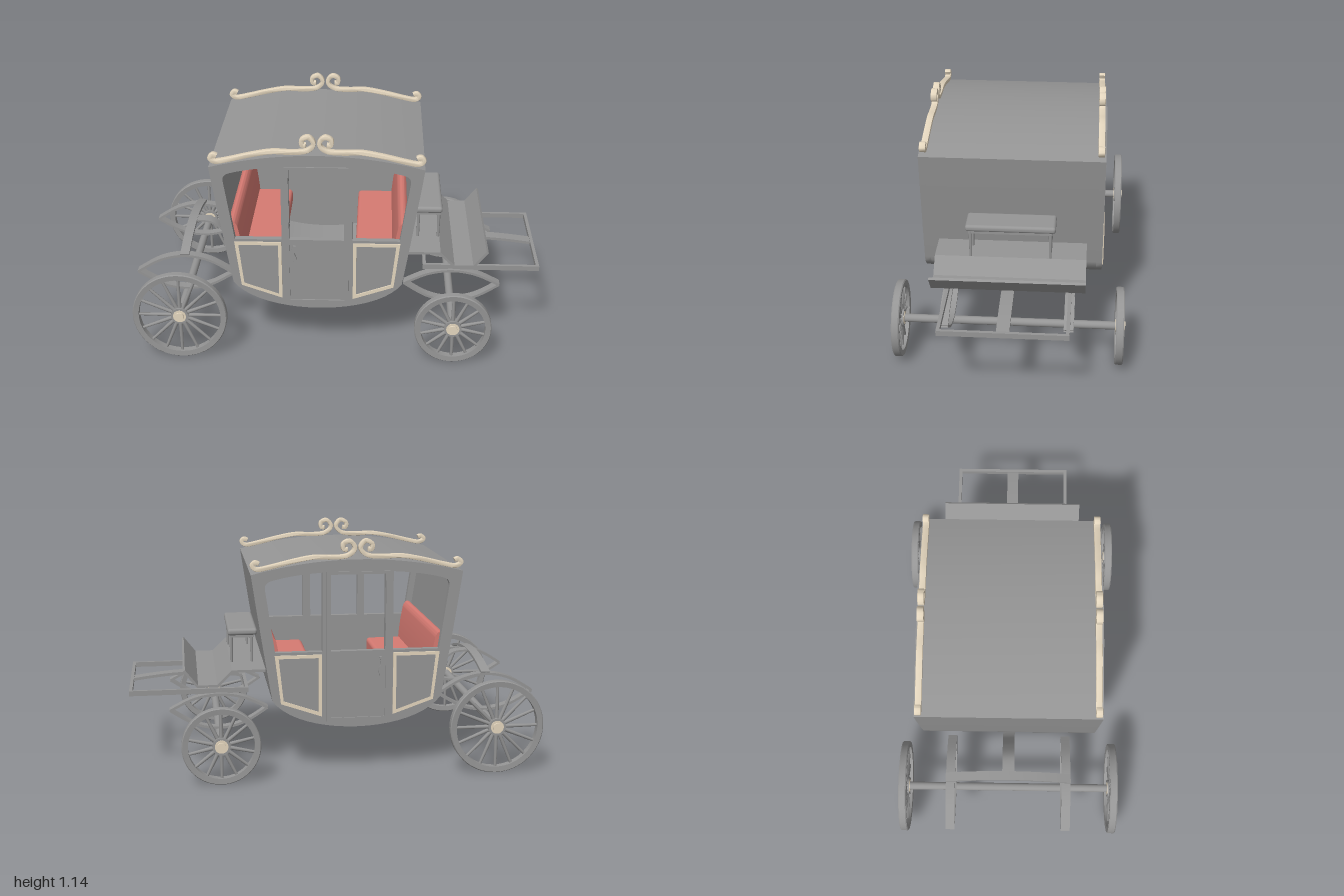
import * as THREE from 'three';
import { toCreasedNormals } from 'three/addons/utils/BufferGeometryUtils.js';
import { RoundedBoxGeometry } from 'three/addons/geometries/RoundedBoxGeometry.js';

const grey = new THREE.MeshStandardMaterial({ color: 0x959595 });
const gold = new THREE.MeshStandardMaterial({ color: 0xe4d6be });
const red = new THREE.MeshStandardMaterial({ color: 0xd67a72 });
const CX = -0.09; // middle of the cabin along x
const mx = (x) => 2 * CX - x;

function add(parent, name, geo, mat = grey, x = 0, y = 0, z = 0) {
  const m = new THREE.Mesh(geo, mat);
  m.name = name;
  m.position.set(x, y, z);
  parent.add(m);
  return m;
}
const box = (p, name, w, h, d, x, y, z) => add(p, name, new THREE.BoxGeometry(w, h, d), grey, x, y, z);

// Extrude a side-view shape along z, centred on z = 0
function slab(shape, depth, bevel = 0) {
  const g = new THREE.ExtrudeGeometry(shape, {
    depth: depth - 2 * bevel, curveSegments: 20, bevelEnabled: bevel > 0,
    bevelSize: bevel, bevelThickness: bevel, bevelOffset: -bevel, bevelSegments: 2,
  });
  g.translate(0, 0, -depth / 2 + bevel);
  return toCreasedNormals(g, 0.6);
}
const poly = (pts) => new THREE.Shape(pts.map(([x, y]) => new THREE.Vector2(x, y)));

// Band of constant thickness following a path in the xy plane
function band(pts, thick, depth, samples = 0, bevel = 0) {
  let v = pts.map(([x, y]) => new THREE.Vector2(x, y));
  if (samples) v = new THREE.SplineCurve(v).getPoints(samples);
  const side = (s) => v.map((p, i) => {
    const a = v[Math.max(i - 1, 0)], b = v[Math.min(i + 1, v.length - 1)];
    const t = b.clone().sub(a).normalize();
    return new THREE.Vector2(p.x - t.y * s, p.y + t.x * s);
  });
  return slab(new THREE.Shape([...side(-thick / 2), ...side(thick / 2).reverse()]), depth, bevel);
}

// Cabin silhouette, scaled about its middle
function outline(target, k = 1) {
  const X = (x) => CX + (x - CX) * k, Y = (y) => 0.64 + (y - 0.64) * k;
  target.moveTo(X(-0.5), Y(0.37));
  target.bezierCurveTo(X(-0.37), Y(0.182), X(0.19), Y(0.182), X(0.32), Y(0.37));
  target.quadraticCurveTo(X(0.36), Y(0.6), X(0.415), Y(0.98));
  target.quadraticCurveTo(X(CX), Y(1.11), X(-0.595), Y(0.98));
  target.quadraticCurveTo(X(-0.54), Y(0.6), X(-0.5), Y(0.37));
  return target;
}
function windowHole(f) {
  const h = new THREE.Path();
  h.moveTo(f(-0.485), 0.605);
  h.lineTo(f(-0.53), 0.91);
  h.quadraticCurveTo(f(-0.533), 0.94, f(-0.5), 0.95);
  h.quadraticCurveTo(f(-0.4), 0.977, f(-0.26), 0.985);
  h.lineTo(f(-0.26), 0.605);
  h.closePath();
  return h;
}
const rectHole = (x0, y0, x1, y1) =>
  new THREE.Path([[x0, y0], [x0, y1], [x1, y1], [x1, y0]].map(([x, y]) => new THREE.Vector2(x, y)));

function cabin() {
  const g = new THREE.Group();
  g.name = 'cabin';
  const ring = outline(new THREE.Shape());
  ring.holes.push(outline(new THREE.Path(), 0.95));
  add(g, 'cabinShell', slab(ring, 0.82));

  const wall = outline(new THREE.Shape());
  wall.holes.push(windowHole((x) => x), windowHole(mx), rectHole(-0.222, 0.605, 0.038, 0.975));
  const wallGeo = slab(wall, 0.03);
  const door = poly([[-0.243, 0.262], [0.06, 0.262], [0.06, 0.988], [-0.243, 0.988]]);
  door.holes.push(rectHole(-0.224, 0.277, 0.041, 0.975));
  const doorGeo = slab(door, 0.014);

  // Moulding around the lower panel beside the door
  const panel = (f) => {
    const s = poly([[-0.488, 0.592], [-0.262, 0.592], [-0.262, 0.286], [-0.46, 0.355]].map(([x, y]) => [f(x), y]));
    s.holes.push(new THREE.Path([[-0.469, 0.576], [-0.278, 0.576], [-0.278, 0.309], [-0.447, 0.368]]
      .map(([x, y]) => new THREE.Vector2(f(x), y))));
    return slab(s, 0.014);
  };
  // Roof scroll: end curl, long sweep, open centre curl
  const scroll = [[-0.556, 1.03], [-0.574, 1.036], [-0.588, 1.02], [-0.562, 1.003], [-0.5, 1.014], [-0.4, 1.038],
    [-0.3, 1.056], [-0.22, 1.054], [-0.15, 1.058], [-0.114, 1.077], [-0.104, 1.104], [-0.128, 1.13],
    [-0.158, 1.117], [-0.157, 1.092], [-0.138, 1.09]];

  for (const s of [1, -1]) {
    add(g, 'sideWall', wallGeo, grey, 0, 0, s * 0.425);
    add(g, 'doorFrame', doorGeo, grey, 0, 0, s * 0.44);
    add(g, 'doorHandle', band([[-0.2, 0.575], [-0.208, 0.54], [-0.197, 0.51], [-0.202, 0.48]], 0.012, 0.014, 12), grey, 0, 0, s * 0.445);
    for (const f of [(x) => x, mx]) {
      add(g, 'panelMoulding', panel(f), gold, 0, 0, s * 0.439);
      add(g, 'roofScroll', band(scroll.map(([x, y]) => [f(x), y]), 0.02, 0.031, 90, 0.003), gold, 0, 0, s * 0.418);
    }
  }

  // Facing upholstered seats
  for (const f of [(x) => x, mx]) {
    const back = new THREE.Shape();
    back.moveTo(f(-0.495), 0.43);
    back.lineTo(f(-0.523), 0.66);
    back.quadraticCurveTo(f(-0.5), 0.7, f(-0.477), 0.655);
    back.quadraticCurveTo(f(-0.458), 0.57, f(-0.45), 0.46);
    back.closePath();
    add(g, 'seatBack', slab(back, 0.8), red);
    add(g, 'seatCushion', new RoundedBoxGeometry(0.21, 0.08, 0.8, 3, 0.02), red, f(-0.375), 0.44, 0);
    box(g, 'seatFront', 0.02, 0.12, 0.8, f(-0.3), 0.34, 0);
  }
  return g;
}

function wheel(name, r, spokes) {
  const g = new THREE.Group();
  g.name = name;
  const prof = [[r - 0.03, -0.017], [r - 0.004, -0.019], [r, -0.014], [r, 0.014], [r - 0.004, 0.019], [r - 0.03, 0.017], [r - 0.03, -0.017]];
  const rim = toCreasedNormals(new THREE.LatheGeometry(prof.map(([x, y]) => new THREE.Vector2(x, y)), 56), 0.5);
  add(g, 'rim', rim.rotateX(Math.PI / 2));
  const spoke = new THREE.CylinderGeometry(0.007, 0.01, r - 0.05, 8).translate(0, (r - 0.05) / 2 + 0.03, 0);
  for (let i = 0; i < spokes; i++) add(g, 'spoke', spoke).rotation.z = (i / spokes) * Math.PI * 2;
  const disc = (rad, len) => new THREE.CylinderGeometry(rad, rad, len, 28).rotateX(Math.PI / 2);
  add(g, 'hub', disc(0.043, 0.034));
  add(g, 'hubPlate', disc(0.032, 0.039), gold);
  add(g, 'hubCap', disc(0.022, 0.028), gold, 0, 0, 0.014);
  return g;
}

// Axle with its two wheels and a pair of elliptic leaf springs
function axleSet(name, x, r, spokes, half, tipY, topY) {
  const g = new THREE.Group();
  g.name = name;
  add(g, 'axle', new THREE.CylinderGeometry(0.02, 0.02, 1.1, 20).rotateX(Math.PI / 2), grey, x, r, 0);
  for (const s of [1, -1]) {
    const w = wheel('wheel', r, spokes);
    w.position.set(x, r, s * 0.53);
    if (s < 0) w.rotation.y = Math.PI;
    g.add(w);
    for (const midY of [topY, r + 0.022]) {
      const q = tipY + (midY - tipY) * 0.75;
      const pts = [[x - half, tipY], [x - half / 2, q], [x, midY], [x + half / 2, q], [x + half, tipY]];
      add(g, 'leafSpring', band(pts, 0.012, 0.045, 28), grey, 0, 0, s * 0.29);
    }
  }
  return g;
}

export function createModel() {
  const model = new THREE.Group();
  model.name = 'carriage';
  model.add(cabin());
  model.add(axleSet('rearAxleSet', -0.757, 0.23, 16, 0.24, 0.342, 0.435));
  model.add(axleSet('frontAxleSet', 0.57, 0.187, 14, 0.236, 0.303, 0.377));

  // Arched cross spring over the rear axle and the arm curving beneath the cabin
  const arch = band([[-0.312, 0.441], [-0.16, 0.477], [0, 0.491], [0.16, 0.477], [0.312, 0.441]], 0.014, 0.045, 28);
  add(model, 'rearCrossSpring', arch.rotateY(Math.PI / 2), grey, -0.757, 0, 0);
  add(model, 'rearArm', band([[-0.76, 0.489], [-0.66, 0.48], [-0.58, 0.41], [-0.51, 0.315], [-0.43, 0.268], [-0.3, 0.25]], 0.01, 0.06, 32));

  // Front frame with centre beam
  for (const s of [1, -1]) box(model, 'frameRail', 0.575, 0.025, 0.016, 0.7125, 0.392, s * 0.29);
  for (const x of [0.433, 0.992]) box(model, 'frameCrossBar', 0.016, 0.025, 0.596, x, 0.392, 0);
  add(model, 'centreBeam', band([[0.43, 0.397], [0.55, 0.41], [0.65, 0.416], [0.76, 0.416], [0.87, 0.407], [0.99, 0.392]], 0.014, 0.06, 24));

  // Driver's footboard and bench
  add(model, 'footboard', band([[0.345, 0.502], [0.505, 0.502], [0.575, 0.433], [0.672, 0.433], [0.735, 0.513]], 0.013, 0.725));
  add(model, 'benchCushion', new RoundedBoxGeometry(0.145, 0.033, 0.43, 4, 0.014), grey, 0.445, 0.661, 0);
  box(model, 'benchBase', 0.12, 0.016, 0.4, 0.447, 0.64, 0);
  const leg = new THREE.CylinderGeometry(0.009, 0.006, 0.14, 10);
  for (const x of [0.4, 0.5]) for (const s of [1, -1]) add(model, 'benchLeg', leg, grey, x, 0.572, s * 0.19);
  return model;
}
